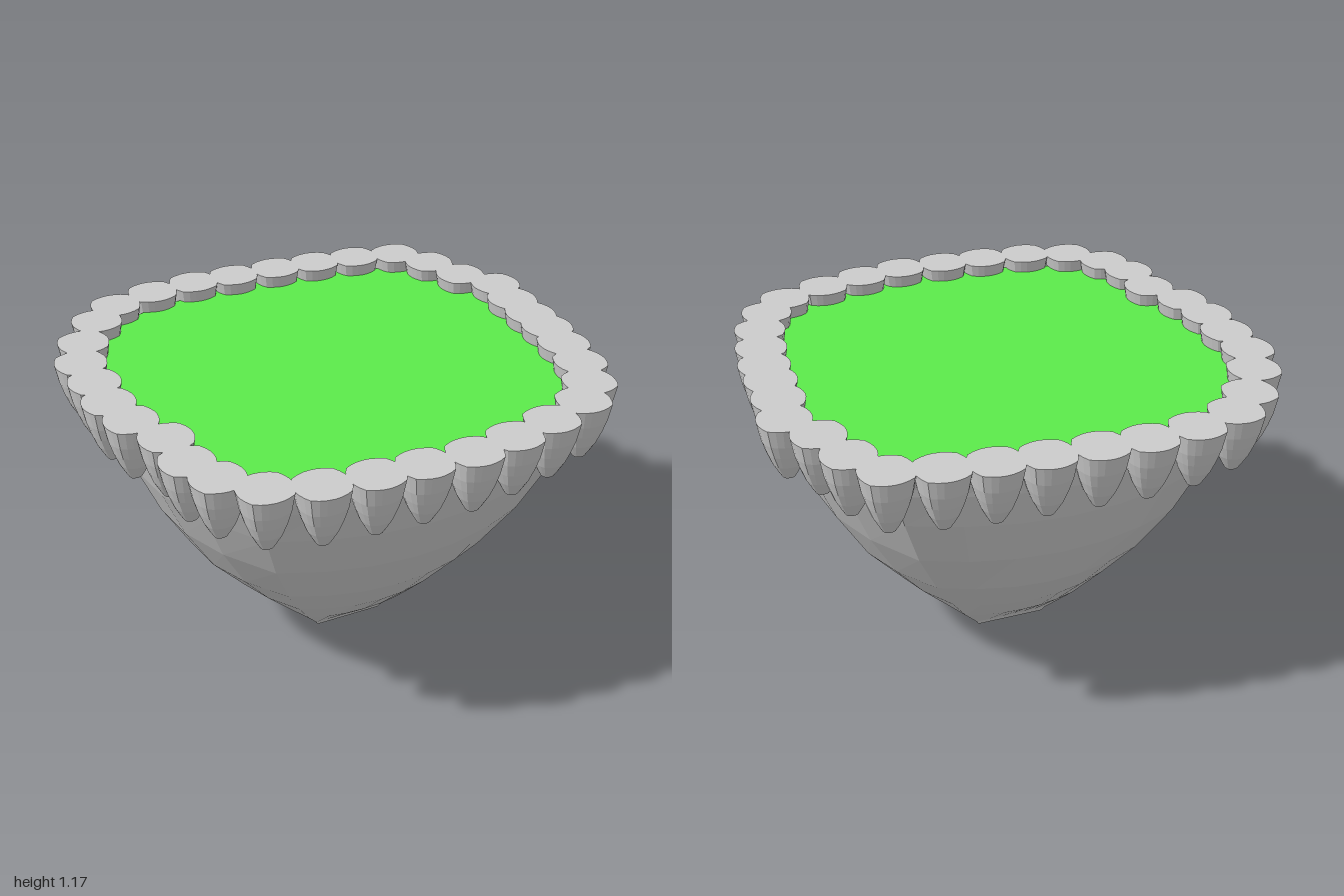
import * as THREE from 'three';

const grey = new THREE.MeshStandardMaterial({ color: 0xcccccc, flatShading: true });
const green = new THREE.MeshStandardMaterial({ color: 0x5bea4a });
const SEG = 6; // segments per side of an outline

// Outline of a four-cornered shape with bulging sides:
// mx, mz = half widths across the sides, cx, cz = position of the corners
function section(mx, mz, cx, cz) {
  const pts = [];
  for (let k = 0; k < 4; k++) {
    for (let s = 0; s < SEG; s++) {
      const t = -1 + (2 * s) / SEG, q = t * t, sign = k < 2 ? 1 : -1;
      const p = k % 2 === 0
        ? [t * cx, mz + (cz - mz) * q]
        : [mx + (cx - mx) * q, -t * cz];
      pts.push(new THREE.Vector2(p[0] * sign, p[1] * sign));
    }
  }
  return pts;
}

// Lofts rings of { y, pts } into a skin with a closed bottom and optional top
function loft(rings, capTop) {
  const pos = [], idx = [], n = SEG * 4, last = rings.length - 1;
  for (const { y, pts } of rings) for (const p of pts) pos.push(p.x, y, p.y);
  for (let i = 0; i < last; i++) {
    for (let j = 0; j < n; j++) {
      const a = i * n + j, b = i * n + ((j + 1) % n);
      idx.push(a, b, b + n, a, b + n, a + n);
    }
  }
  for (let j = 1; j < n - 1; j++) {
    idx.push(0, j + 1, j);
    if (capTop) idx.push(last * n, last * n + j, last * n + j + 1);
  }
  const g = new THREE.BufferGeometry();
  g.setAttribute('position', new THREE.Float32BufferAttribute(pos, 3));
  g.setIndex(idx);
  g.computeVertexNormals();
  return g;
}

export function createModel() {
  const model = new THREE.Group();

  // Bowl, with its foot set slightly towards the back: [y, mx, mz, cx, cz]
  const TOP = 1.12;
  const bowlRings = [
    [0, 0.14, 0.155, 0.14, 0.155], [0.02, 0.15, 0.165, 0.15, 0.165],
    [0.14, 0.31, 0.305, 0.23, 0.265], [0.28, 0.46, 0.44, 0.315, 0.36],
    [0.45, 0.61, 0.575, 0.41, 0.47], [0.66, 0.735, 0.7, 0.505, 0.575],
    [0.87, 0.825, 0.795, 0.575, 0.655], [1.02, 0.865, 0.84, 0.62, 0.7],
    [TOP, 0.88, 0.855, 0.645, 0.725],
  ].map(([y, ...dims]) => {
    const pts = section(...dims);
    for (const p of pts) p.y -= 0.03 * (1 - y / TOP);
    return { y, pts };
  });
  const bowl = new THREE.Mesh(loft(bowlRings, false), grey);
  bowl.name = 'bowl';
  model.add(bowl);

  // Green filling, level with the top ring of the bowl
  const edge = bowlRings[bowlRings.length - 1].pts.map((p) => new THREE.Vector2(p.x, -p.y));
  const filling = new THREE.Mesh(new THREE.ShapeGeometry(new THREE.Shape(edge)), green);
  filling.geometry.rotateX(-Math.PI / 2);
  filling.position.y = TOP;
  filling.name = 'filling';
  model.add(filling);

  // Scalloped rim: a ring of small solid cups
  const cupGeo = loft([
    [0.94, 0.024], [0.965, 0.038], [1.0, 0.056], [1.05, 0.074], [1.1, 0.088], [1.17, 0.1],
  ].map(([y, r]) => ({ y, pts: section(r, r, r * 0.76, r * 0.76) })), true);
  const rowX = [-0.62, -0.44, -0.25, -0.07, 0.12, 0.3, 0.48, 0.66];
  const backZ = [-0.79, -0.845, -0.865, -0.857, -0.85, -0.835, -0.81, -0.765];
  const frontZ = [0.76, 0.82, 0.84, 0.85, 0.855, 0.825, 0.78, 0.71];
  const plusX = [[0.75, -0.62], [0.81, -0.45], [0.895, -0.3], [0.88, -0.14], [0.875, 0.01],
    [0.87, 0.14], [0.85, 0.29], [0.82, 0.45], [0.76, 0.6]];
  const minusX = [[-0.735, -0.68], [-0.84, -0.52], [-0.9, -0.36], [-0.9, -0.19], [-0.9, -0.02],
    [-0.87, 0.14], [-0.8, 0.31], [-0.79, 0.49], [-0.735, 0.63]];
  const spots = [
    ...rowX.map((x, i) => [x, backZ[i]]),
    ...rowX.map((x, i) => [x, frontZ[i]]),
    ...plusX, ...minusX,
  ];
  const rim = new THREE.Group();
  rim.name = 'rim';
  for (const [x, z] of spots) {
    const cup = new THREE.Mesh(cupGeo, grey);
    cup.name = 'rimCup';
    cup.position.set(x, 0, z);
    rim.add(cup);
  }
  model.add(rim);
  return model;
}
